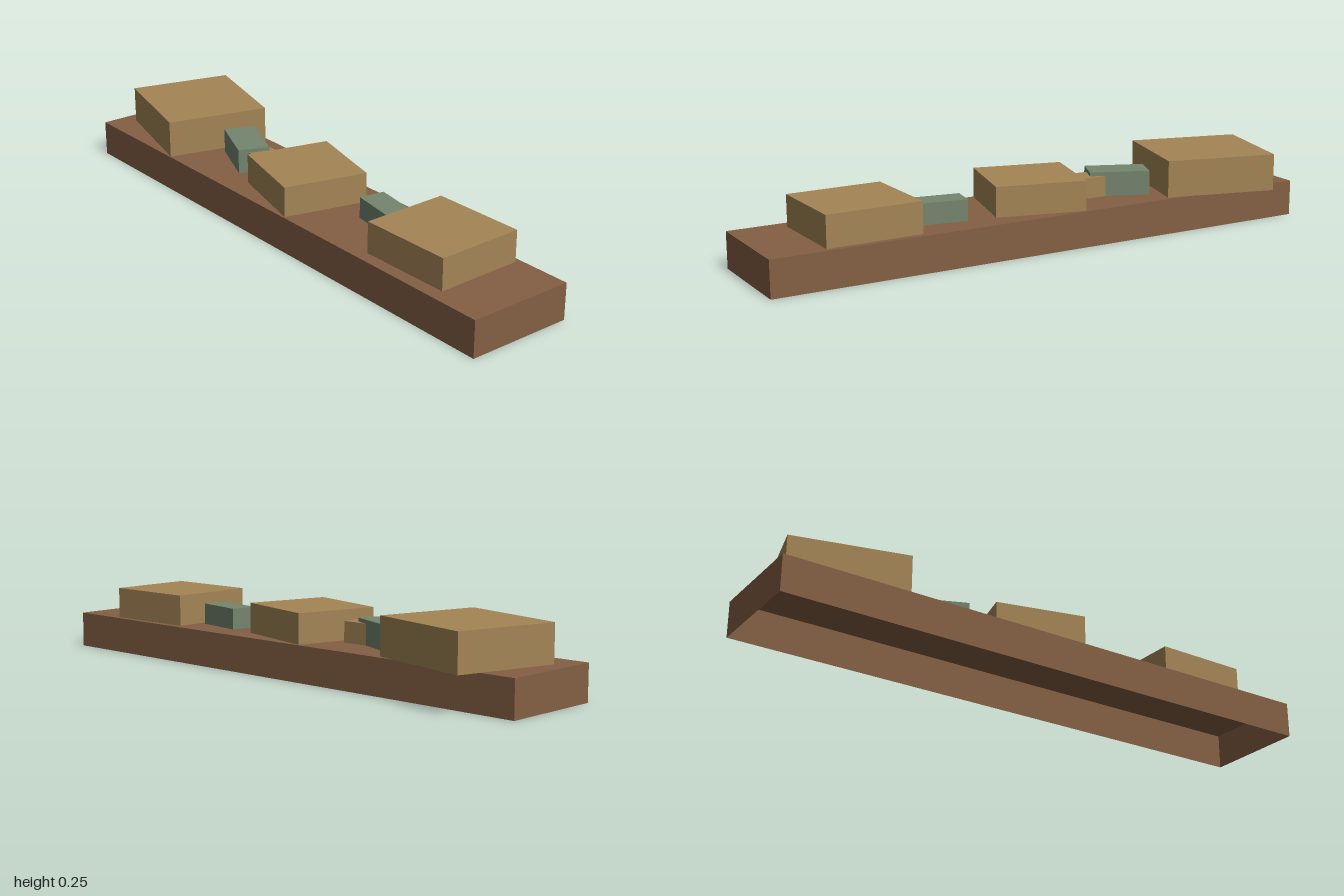
import * as THREE from 'three';

const flat = (name, color) => {
  const m = new THREE.MeshStandardMaterial({ color, side: THREE.DoubleSide });
  m.name = name;
  return m;
};

// Box standing on y = 0, without its bottom face
function openBox(w, h, d) {
  const g = new THREE.BoxGeometry(w, h, d).translate(0, h / 2, 0);
  const index = Array.from(g.index.array);
  index.splice(18, 6);
  g.setIndex(index);
  g.clearGroups();
  return g;
}

export function createModel() {
  const group = new THREE.Group();
  group.name = 'shelfWithBoxes';
  const brown = flat('brown wood', 0x845f44);
  const tan = flat('tan cardboard', 0xa48556);
  const green = flat('grey green', 0x74856e);
  const shelfTop = 0.125;

  const add = (name, material, w, d, y0, y1, x, z, turn) => {
    const mesh = new THREE.Mesh(openBox(w, y1 - y0, d), material);
    mesh.name = name;
    mesh.position.set(x, y0, z);
    mesh.rotation.y = turn;
    group.add(mesh);
  };

  // Hollow plank
  add('plank', brown, 2, 0.376, 0, shelfTop, 0, 0.04, 0);

  // Boxes: name, material, width, depth, top, x, z, turn
  [
    ['largeBox', tan, 0.396, 0.365, 0.254, -0.707, -0.002, -0.25],
    ['greenBoxRight', green, 0.211, 0.11, 0.21, -0.363, 0.032, -0.385],
    ['smallBox', tan, 0.12, 0.088, 0.197, -0.26, 0.044, 0],
    ['middleBox', tan, 0.313, 0.296, 0.229, -0.011, 0.041, -0.243],
    ['greenBoxLeft', green, 0.178, 0.09, 0.198, 0.356, 0.004, -0.158],
    ['leftBox', tan, 0.333, 0.309, 0.233, 0.642, 0.028, 0.015],
  ].forEach(([name, mat, w, d, top, x, z, turn]) => add(name, mat, w, d, shelfTop, top, x, z, turn));

  return group;
}
